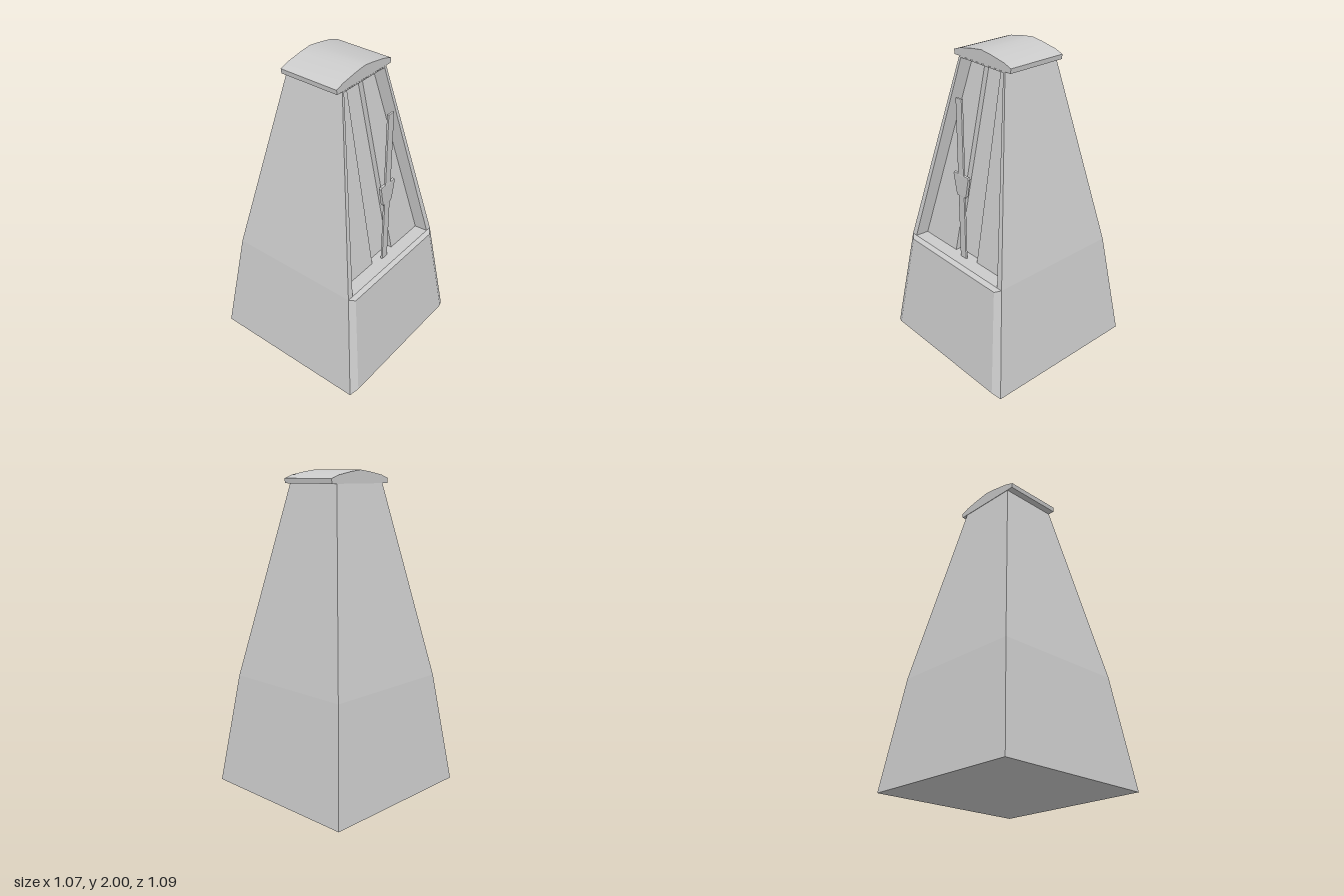
import * as THREE from 'three';
import { toCreasedNormals } from 'three/addons/utils/BufferGeometryUtils.js';

const material = new THREE.MeshStandardMaterial({ color: 0xcccccc });

function add(group, name, geometry) {
  const mesh = new THREE.Mesh(geometry, material);
  mesh.name = name;
  group.add(mesh);
  return mesh;
}

// Flat-shaded surface from four-cornered faces, counter-clockwise from outside
function faces(quads) {
  const pos = [];
  for (const [a, b, c, d] of quads) pos.push(...a, ...b, ...c, ...a, ...c, ...d);
  const g = new THREE.BufferGeometry();
  g.setAttribute('position', new THREE.Float32BufferAttribute(pos, 3));
  g.computeVertexNormals();
  return g;
}

// A face together with its mirror image across x = 0
const both = (quad) => [quad, quad.map(([x, y, z]) => [-x, y, z]).reverse()];

function polygon(points) {
  return new THREE.Shape(points.map(([x, y]) => new THREE.Vector2(x, y)));
}

// Bevelled flat piece centred on depth z
function plate(points, z, thickness, bevel) {
  const g = new THREE.ExtrudeGeometry(polygon(points), {
    depth: thickness - 2 * bevel, bevelThickness: bevel, bevelSize: bevel,
    bevelOffset: -bevel, bevelSegments: 2,
  });
  g.translate(0, 0, z - thickness / 2 + bevel);
  return g;
}

export function createModel() {
  const model = new THREE.Group();
  model.name = 'metronome';

  // Tapered case: half width, front and back depth at three heights
  const rings = [
    { y: 0, x: 0.535, f: 0.525, b: -0.545 },
    { y: 0.71, x: 0.44, f: 0.43, b: -0.45 },
    { y: 1.92, x: 0.2, f: 0.188, b: -0.207 },
  ];
  const shell = [];
  for (let i = 0; i < 2; i++) {
    const p = rings[i], q = rings[i + 1];
    shell.push(...both([[p.x, p.y, p.f], [p.x, p.y, p.b], [q.x, q.y, q.b], [q.x, q.y, q.f]]));
    shell.push([[p.x, p.y, p.b], [-p.x, p.y, p.b], [-q.x, q.y, q.b], [q.x, q.y, q.b]]);
  }
  const base = rings[0], mid = rings[1], top = rings[2];
  shell.push([[-base.x, 0, base.b], [base.x, 0, base.b], [base.x, 0, base.f], [-base.x, 0, base.f]]);
  add(model, 'case', faces(shell));

  // Bevelled lower front panel
  const outer = [[-base.x, 0, base.f], [base.x, 0, base.f], [mid.x, mid.y, mid.f], [-mid.x, mid.y, mid.f]];
  const inner = [[-0.48, 0.025, 0.549], [0.48, 0.025, 0.549], [0.4, 0.69, 0.455], [-0.4, 0.69, 0.455]];
  const panel = [inner];
  for (let i = 0; i < 4; i++) {
    const j = (i + 1) % 4;
    panel.push([outer[i], outer[j], inner[j], inner[i]]);
  }
  add(model, 'lowerFrontPanel', faces(panel));

  // Frame around the opening, with the recess walls, floor and ceiling
  const yb = mid.y, yt = 1.9, yr = 1.912;
  const zb = 0.345, zt = 0.104, groove = 0.035;
  const ib = 0.4, it = 0.185, pb = 0.393, pt = 0.18;
  add(model, 'openingFrame', faces([
    ...both([[ib, yb, mid.f], [mid.x, yb, mid.f], [top.x, top.y, top.f], [it, yr, top.f]]),
    [[-it, yr, top.f], [it, yr, top.f], [top.x, top.y, top.f], [-top.x, top.y, top.f]],
    ...both([[pb, yb, zb], [ib, yb, mid.f], [it, yr, top.f], [pt, yt, zt]]),
    [[-ib, yb, mid.f], [ib, yb, mid.f], [pb, yb, zb - groove], [-pb, yb, zb - groove]],
    [[-pt, yt, zt - groove], [pt, yt, zt - groove], [it, yr, top.f], [-it, yr, top.f]],
  ]));

  // Recessed scale board with its tapering central channel
  const lb = -0.09, rb = 0.115, lt = -0.065, rt = 0.074;
  const gb = zb - groove, gt = zt - groove;
  add(model, 'scaleBoard', faces([
    [[-pb, yb, zb], [lb, yb, zb], [lt, yt, zt], [-pt, yt, zt]],
    [[rb, yb, zb], [pb, yb, zb], [pt, yt, zt], [rt, yt, zt]],
    [[lb, yb, gb], [rb, yb, gb], [rt, yt, gt], [lt, yt, gt]],
    [[lb, yb, zb], [lb, yb, gb], [lt, yt, gt], [lt, yt, zt]],
    [[rb, yb, gb], [rb, yb, zb], [rt, yt, zt], [rt, yt, gt]],
  ]));

  // Shallow arched cap
  const cap = new THREE.ExtrudeGeometry(polygon([
    [-0.243, 1.92], [0.243, 1.92], [0.247, 1.95], [0.19, 1.97], [0.08, 1.99], [0, 2],
    [-0.08, 1.99], [-0.19, 1.97], [-0.247, 1.95],
  ]), { depth: 0.397, bevelEnabled: false });
  cap.translate(0, 0, -0.21);
  add(model, 'cap', toCreasedNormals(cap, 0.4));

  // Pendulum rod and sliding weight, standing clear of the board
  const pendulum = new THREE.Group();
  pendulum.name = 'pendulum';
  model.add(pendulum);
  add(pendulum, 'rod', plate([[-0.016, 0.71], [0.037, 0.71], [0.037, 1.76], [-0.016, 1.76]], 0.362, 0.015, 0.005));
  add(pendulum, 'weight', plate([
    [-0.026, 1.14], [0.047, 1.14], [0.056, 1.155], [0.08, 1.275], [0.074, 1.286],
    [-0.053, 1.286], [-0.059, 1.275], [-0.035, 1.155],
  ], 0.36, 0.021, 0.006));

  return model;
}
